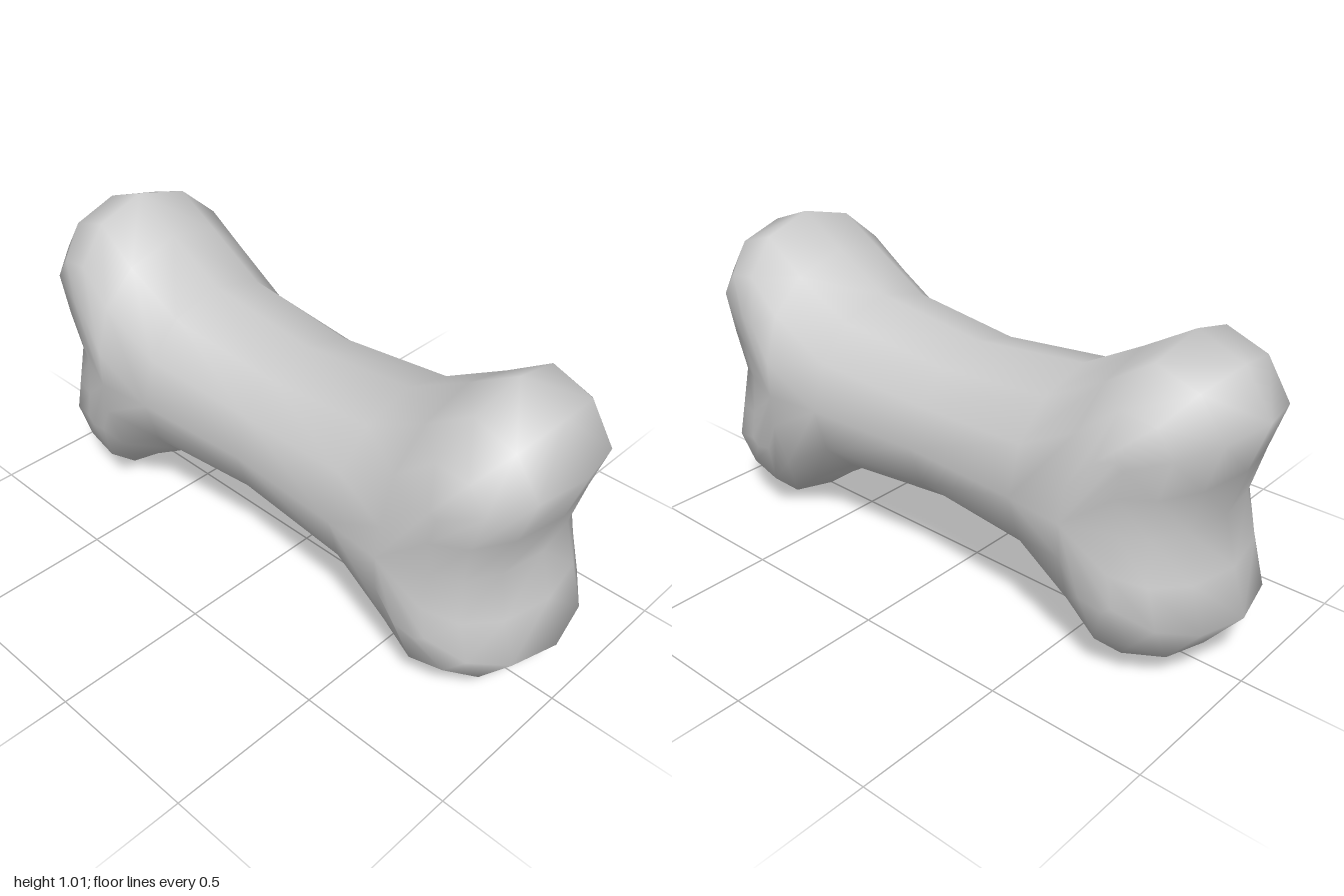
import * as THREE from 'three';
import { mergeVertices } from 'three/addons/utils/BufferGeometryUtils.js';

const MID = 0.51;

// Right half of the outline, clockwise from the top of the shaft.
// Each row: outline x, y, then the crest x, y, z that the surface swells up to.
const HALF = [
  [0, 0.765, 0, MID, 0.3],
  [0.4, 0.81, 0.4, MID, 0.323],
  [0.6, 0.92, 0.6, 0.62, 0.335],
  [0.76, 1.015, 0.68, 0.72, 0.32],
  [0.91, 0.957, 0.74, 0.74, 0.31],
  [1, 0.82, 0.76, 0.72, 0.305],
  [0.945, 0.66, 0.74, 0.63, 0.305],
  [0.9, MID, 0.74, MID, 0.285], // notch between the two knobs
  [0.94, 0.36, 0.73, 0.39, 0.305],
  [0.985, 0.21, 0.75, 0.29, 0.305],
  [0.87, 0.07, 0.72, 0.27, 0.31],
  [0.71, 0, 0.65, 0.29, 0.32],
  [0.59, 0.09, 0.59, 0.4, 0.335],
  [0.4, 0.21, 0.4, MID, 0.323],
  [0, 0.25, 0, MID, 0.3],
];

// Angles of the rounded section, from the outline up to the crest.
const ANGLES = [0, 32, 60, 90].map(THREE.MathUtils.degToRad);

function boneGeometry() {
  const mirrored = HALF.slice(1, -1).reverse().map(([x, y, sx, sy, sz]) => [-x, y, -sx, sy, sz]);
  const loop = [...HALF, ...mirrored];
  const positions = [];

  // Adds a triangle to the front and its mirror image to the back
  const tri = (a, b, c) => {
    for (const p of [a, b, c]) positions.push(...p);
    for (const [x, y, z] of [a, c, b]) positions.push(x, y, -z);
  };

  const rings = loop.map(([x, y, sx, sy, sz]) => ANGLES.map((t, j) => {
    const c = j === ANGLES.length - 1 ? 0 : Math.cos(t);
    return [sx + (x - sx) * c, sy + (y - sy) * c, sz * Math.sin(t)];
  }));

  rings.forEach((ring, k) => {
    const next = rings[(k + 1) % rings.length];
    // Rounded flank between neighbouring spokes
    for (let j = 0; j < ANGLES.length - 1; j++) {
      tri(ring[j], ring[j + 1], next[j + 1]);
      tri(ring[j], next[j + 1], next[j]);
    }
    // Broad face of each end, fanned from its middle
    const a = ring[ANGLES.length - 1], b = next[ANGLES.length - 1];
    if (a[1] !== MID || b[1] !== MID) {
      const side = Math.sign(a[0] + b[0]);
      tri([side * 0.59, MID, 0.342], b, a);
    }
  });

  const raw = new THREE.BufferGeometry();
  raw.setAttribute('position', new THREE.Float32BufferAttribute(positions, 3));
  const geometry = mergeVertices(raw, 1e-4);
  // Drop triangles that collapsed where the crest meets along the shaft
  const index = geometry.index.array, kept = [];
  for (let i = 0; i < index.length; i += 3) {
    const [a, b, c] = [index[i], index[i + 1], index[i + 2]];
    if (a !== b && b !== c && c !== a) kept.push(a, b, c);
  }
  geometry.setIndex(kept);
  geometry.computeVertexNormals();
  return geometry;
}

export function createModel() {
  const group = new THREE.Group();
  group.name = 'dogBone';
  const bone = new THREE.Mesh(boneGeometry(), new THREE.MeshStandardMaterial({ color: 0xcccccc }));
  bone.name = 'bone';
  group.add(bone);
  return group;
}
